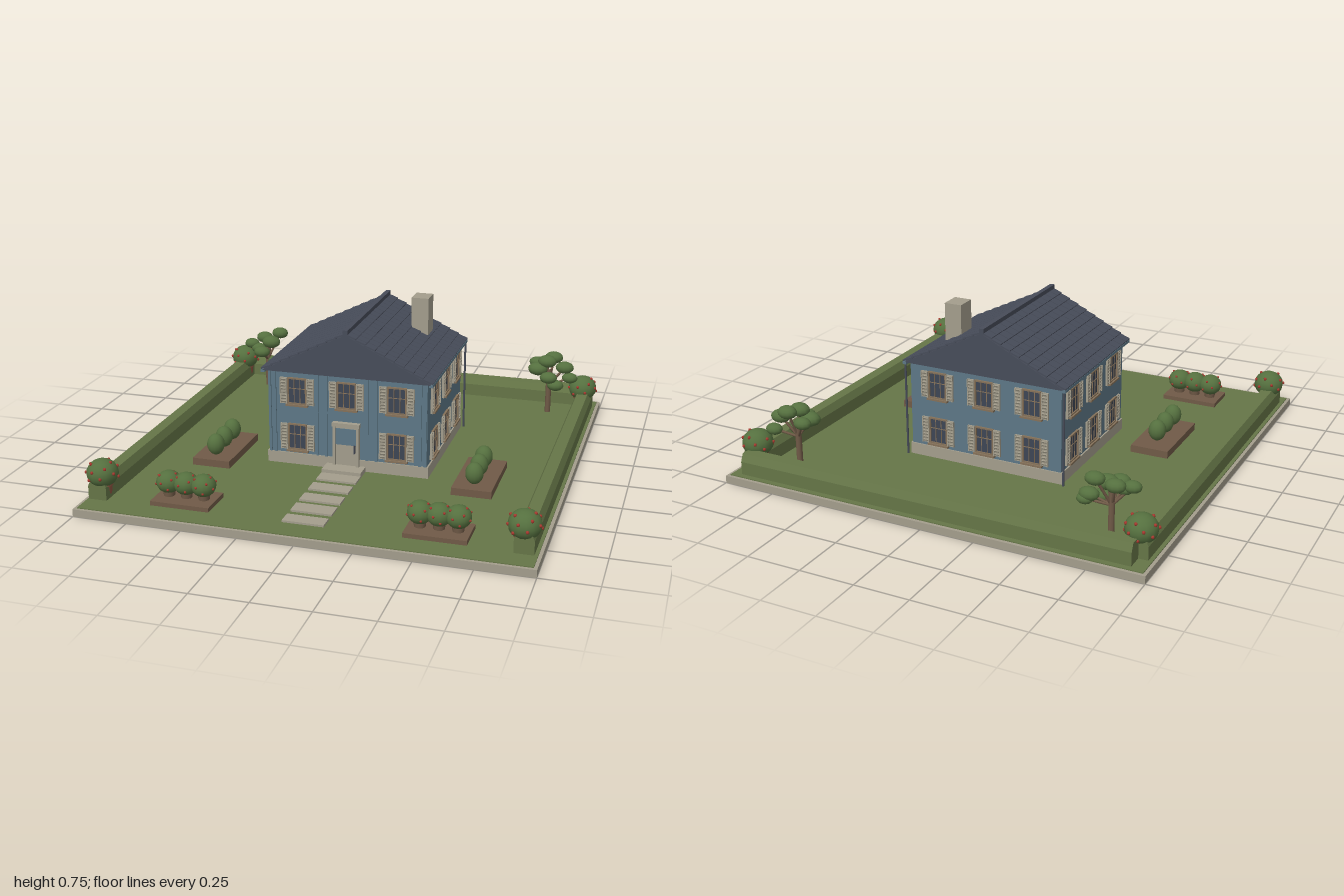
import * as THREE from 'three';
import { mergeGeometries } from 'three/addons/utils/BufferGeometryUtils.js';

const mat = (name, color) => {
  const m = new THREE.MeshStandardMaterial({ color });
  m.name = name;
  return m;
};

export function createModel() {
  const root = new THREE.Group();
  root.name = 'houseAndGarden';
  const stone = mat('stone', 0xa39d8c), grass = mat('grass', 0x657547), wall = mat('blueWall', 0x5d7786),
    slate = mat('slate', 0x474c59), leaf = mat('foliage', 0x55703f), clay = mat('terracotta', 0x8c5340),
    soil = mat('soilAndWood', 0x705a47), red = mat('redBlossom', 0xa83a30), glass = mat('darkGlass', 0x3d4554),
    trim = mat('windowTrim', 0x857159);

  const group = (name, parent = root) => {
    const g = new THREE.Group();
    g.name = name;
    parent.add(g);
    return g;
  };
  const add = (name, geo, m, parent = root) => {
    const mesh = new THREE.Mesh(geo, m);
    mesh.name = name;
    parent.add(mesh);
    return mesh;
  };
  // box geometry from size and centre
  const boxGeo = (w, h, d, x, y, z) => new THREE.BoxGeometry(w, h, d).translate(x, y, z);
  // box between two corners
  const box = (name, m, x0, x1, y0, y1, z0, z1, parent = root) =>
    add(name, boxGeo(x1 - x0, y1 - y0, z1 - z0, (x0 + x1) / 2, (y0 + y1) / 2, (z0 + z1) / 2), m, parent);

  // ground
  box('baseSlab', stone, -1, 1, 0, 0.034, -1, 1);
  box('lawn', grass, -0.985, 0.985, 0.03, 0.038, -0.985, 0.985);

  // hedges with chamfered tops
  const hedgeProfile = new THREE.Shape([[-0.042, 0], [0.042, 0], [0.042, 0.06], [0.026, 0.095], [-0.026, 0.095], [-0.042, 0.06]]
    .map(p => new THREE.Vector2(...p)));
  const hedge = (name, length, x, z, turn) => {
    const geo = new THREE.ExtrudeGeometry(hedgeProfile, { depth: length, bevelEnabled: false });
    geo.translate(0, 0, -length / 2).rotateY(turn).translate(x, 0.045, z);
    add(name, geo, grass);
  };
  hedge('leftHedge', 1.8, 0.93, 0, 0);
  hedge('rightHedge', 1.8, -0.93, 0, 0);
  hedge('backHedge', 1.86, 0, -0.93, Math.PI / 2);

  // round shrub, optionally dotted with blossoms
  const shrub = (parent, x, y, z, r, ry, blossoms) => {
    add('shrub', new THREE.SphereGeometry(r, 14, 10).scale(1, ry / r, 1).translate(x, y, z), leaf, parent);
    const dots = [];
    for (let i = 0; i < blossoms; i++) {
      const h = 0.85 - 1.3 * (i + 0.5) / blossoms, a = i * 2.4, c = Math.sqrt(1 - h * h);
      dots.push(new THREE.SphereGeometry(r * 0.11, 6, 4)
        .translate(x + r * c * Math.cos(a), y + ry * h, z + r * c * Math.sin(a)));
    }
    if (dots.length) add('blossoms', mergeGeometries(dots), red, parent);
  };

  // corner pots
  for (const x of [-0.923, 0.923]) for (const z of [-0.853, 0.853]) {
    const pot = group('cornerPlanter');
    add('pot', new THREE.CylinderGeometry(0.042, 0.034, 0.07, 14).translate(x, 0.078, z), clay, pot);
    add('potRim', new THREE.CylinderGeometry(0.045, 0.045, 0.014, 14).translate(x, 0.108, z), clay, pot);
    shrub(pot, x, 0.155, z, 0.07, 0.063, 16);
  }

  // flower beds
  for (const s of [-1, 1]) {
    const front = group('frontBed'), side = group('sideBed');
    const fx = s * 0.56, sx = s * 0.61;
    box('soil', soil, fx - 0.135, fx + 0.135, 0.036, 0.058, 0.705, 0.875, front);
    box('soil', soil, sx - 0.09, sx + 0.09, 0.036, 0.072, 0.03, 0.4, side);
    for (const i of [-1, 0, 1]) {
      add('stem', new THREE.CylinderGeometry(0.028, 0.024, 0.04, 10).translate(fx + i * 0.081, 0.072, 0.79), soil, front);
      shrub(front, fx + i * 0.081, 0.122, 0.79, 0.055, 0.05, 12);
      shrub(side, sx, 0.125, 0.232 + i * 0.102, 0.041, 0.05, 0);
    }
  }

  // trees: trunk, branches and flattened leaf clumps
  const tree = (x, z, clumps) => {
    const t = group('tree');
    const limb = (a, b, r) => add('limb', new THREE.TubeGeometry(new THREE.LineCurve3(a, b), 1, r, 8), soil, t);
    const fork = new THREE.Vector3(x, 0.18, z);
    limb(new THREE.Vector3(x, 0.035, z), new THREE.Vector3(x, 0.27, z), 0.014);
    for (const [cx, cy, cz, r] of clumps) {
      limb(fork, new THREE.Vector3(cx, cy, cz), 0.006);
      add('leafClump', new THREE.SphereGeometry(r, 12, 8).scale(1, 0.66, 0.8).translate(cx, cy, cz), leaf, t);
    }
  };
  tree(-0.76, -0.77, [[-0.84, 0.27, -0.75, 0.04], [-0.79, 0.29, -0.81, 0.045], [-0.71, 0.315, -0.83, 0.044],
    [-0.74, 0.28, -0.77, 0.05], [-0.66, 0.21, -0.77, 0.045], [-0.76, 0.25, -0.68, 0.044], [-0.70, 0.19, -0.72, 0.042],
    [-0.645, 0.19, -0.78, 0.036], [-0.80, 0.25, -0.74, 0.04]]);
  tree(0.76, -0.77, [[0.69, 0.28, -0.83, 0.042], [0.705, 0.27, -0.75, 0.05], [0.775, 0.315, -0.82, 0.046],
    [0.835, 0.275, -0.79, 0.046], [0.77, 0.25, -0.68, 0.044], [0.86, 0.215, -0.81, 0.04], [0.75, 0.31, -0.76, 0.048],
    [0.80, 0.20, -0.72, 0.042]]);

  // path and front step
  [[0.34, 0.415], [0.455, 0.53], [0.575, 0.65], [0.685, 0.765], [0.805, 0.875]].forEach(([a, b]) =>
    box('pathSlab', stone, -0.095, 0.09, 0.034, 0.047, a, b));
  box('doorStep', stone, -0.095, 0.09, 0.034, 0.062, 0.25, 0.338);

  // house body
  const house = group('house'), zf = 0.252, zb = -0.422, zc = -0.085;
  box('plinth', stone, -0.382, 0.382, 0.036, 0.092, zb - 0.006, zf + 0.006, house);
  box('walls', wall, -0.375, 0.375, 0.09, 0.49, zb, zf, house);
  for (const x of [-0.367, -0.343, -0.14, -0.097, 0.097, 0.14, 0.343, 0.367])
    box('wallBatten', wall, x - 0.006, x + 0.006, 0.092, 0.487, zf, zf + 0.007, house);

  // window with frame, sill and louvred shutters, facing +z around its centre
  const glassGeo = boxGeo(0.08, 0.12, 0.004, 0, 0, 0.002);
  const frameGeo = mergeGeometries([
    boxGeo(0.09, 0.007, 0.01, 0, 0.06, 0.005), boxGeo(0.09, 0.007, 0.01, 0, -0.06, 0.005),
    ...[-0.042, 0.042].map(x => boxGeo(0.007, 0.12, 0.01, x, 0, 0.005)),
    ...[-0.014, 0.014].map(x => boxGeo(0.003, 0.12, 0.007, x, 0, 0.0035)),
    boxGeo(0.08, 0.003, 0.007, 0, 0.012, 0.0035), boxGeo(0.105, 0.009, 0.018, 0, -0.067, 0.009)]);
  const louvres = [];
  for (const x of [-0.064, 0.064]) {
    louvres.push(boxGeo(0.034, 0.125, 0.006, x, 0, 0.006));
    for (const e of [-0.0145, 0.0145]) louvres.push(boxGeo(0.005, 0.125, 0.005, x + e, 0, 0.0105));
    for (let i = 0; i < 8; i++)
      louvres.push(new THREE.BoxGeometry(0.026, 0.009, 0.003).rotateX(0.5).translate(x, -0.053 + i * 0.0151, 0.0105));
  }
  const shutterGeo = mergeGeometries(louvres);
  const windowAt = (x, y, z, turn) => {
    const w = group('window', house);
    add('pane', glassGeo, glass, w);
    add('frame', frameGeo, trim, w);
    add('shutters', shutterGeo, stone, w);
    w.position.set(x, y, z);
    w.rotation.y = turn;
  };
  for (const y of [0.395, 0.173]) {
    for (const x of [-0.235, 0, 0.235]) {
      if (x !== 0 || y > 0.3) windowAt(x, y, zf, 0);
      windowAt(x, y, zb, Math.PI);
    }
    for (const z of [0.13, -0.09, -0.305]) for (const s of [-1, 1]) windowAt(s * 0.375, y, z, s * Math.PI / 2);
  }

  // front door
  const door = group('frontDoor', house);
  box('doorLeaf', stone, -0.06, 0.06, 0.06, 0.266, zf, zf + 0.012, door);
  box('upperPanel', wall, -0.05, 0.05, 0.162, 0.24, zf + 0.012, zf + 0.016, door);
  for (const x of [-0.056, 0.056]) box('doorPost', stone, x - 0.006, x + 0.006, 0.06, 0.266, zf, zf + 0.022, door);
  box('doorHead', stone, -0.065, 0.065, 0.25, 0.268, zf, zf + 0.024, door);
  box('doorHandle', slate, 0.037, 0.043, 0.125, 0.165, zf + 0.012, zf + 0.024, door);

  // roof body
  const roof = group('roof', house), z0 = -0.445, z1 = 0.275, ridge = 0.685, eave = 0.488;
  const gable = new THREE.Shape([new THREE.Vector2(-0.397, eave), new THREE.Vector2(0.397, eave), new THREE.Vector2(0, ridge)]);
  add('roofBody', new THREE.ExtrudeGeometry(gable, { depth: z1 - z0, bevelEnabled: false }).translate(0, 0, z0), slate, roof);

  // overlapping slates in staggered rows
  const rows = 9, cols = 14, run = Math.hypot(0.397, ridge - eave), pitch = Math.atan2(ridge - eave, 0.397);
  const step = run / rows, width = (z1 - z0) / cols;
  for (const s of [-1, 1]) {
    const tiles = [];
    for (let r = 0; r < rows; r++) for (let c = 0; c <= cols; c++) {
      const a = Math.max(z0, z0 + (c - (r % 2) / 2) * width), b = Math.min(z1, z0 + (c + 1 - (r % 2) / 2) * width);
      if (b - a < 0.005) continue;
      tiles.push(new THREE.BoxGeometry(step * 1.06, 0.007, b - a - 0.004).rotateZ(s * 0.11)
        .translate(s * (r + 0.5) * step, 0.005, (a + b) / 2));
    }
    const slates = add('roofSlates', mergeGeometries(tiles), slate, roof);
    slates.position.y = ridge;
    slates.rotation.z = -s * pitch;
    // gutter and rear downpipe
    box('gutter', wall, s * 0.393 - 0.009, s * 0.393 + 0.009, 0.478, 0.491, z0, z1, roof);
    add('downpipe', new THREE.CylinderGeometry(0.005, 0.005, 0.445, 8).translate(s * 0.393, 0.26, -0.437), slate, house);
  }
  box('ridgeCap', slate, -0.011, 0.011, 0.68, 0.707, z0, z1, roof);

  // chimney
  box('chimney', stone, 0.178, 0.26, 0.56, 0.745, -0.302, -0.207, house);
  return root;
}
